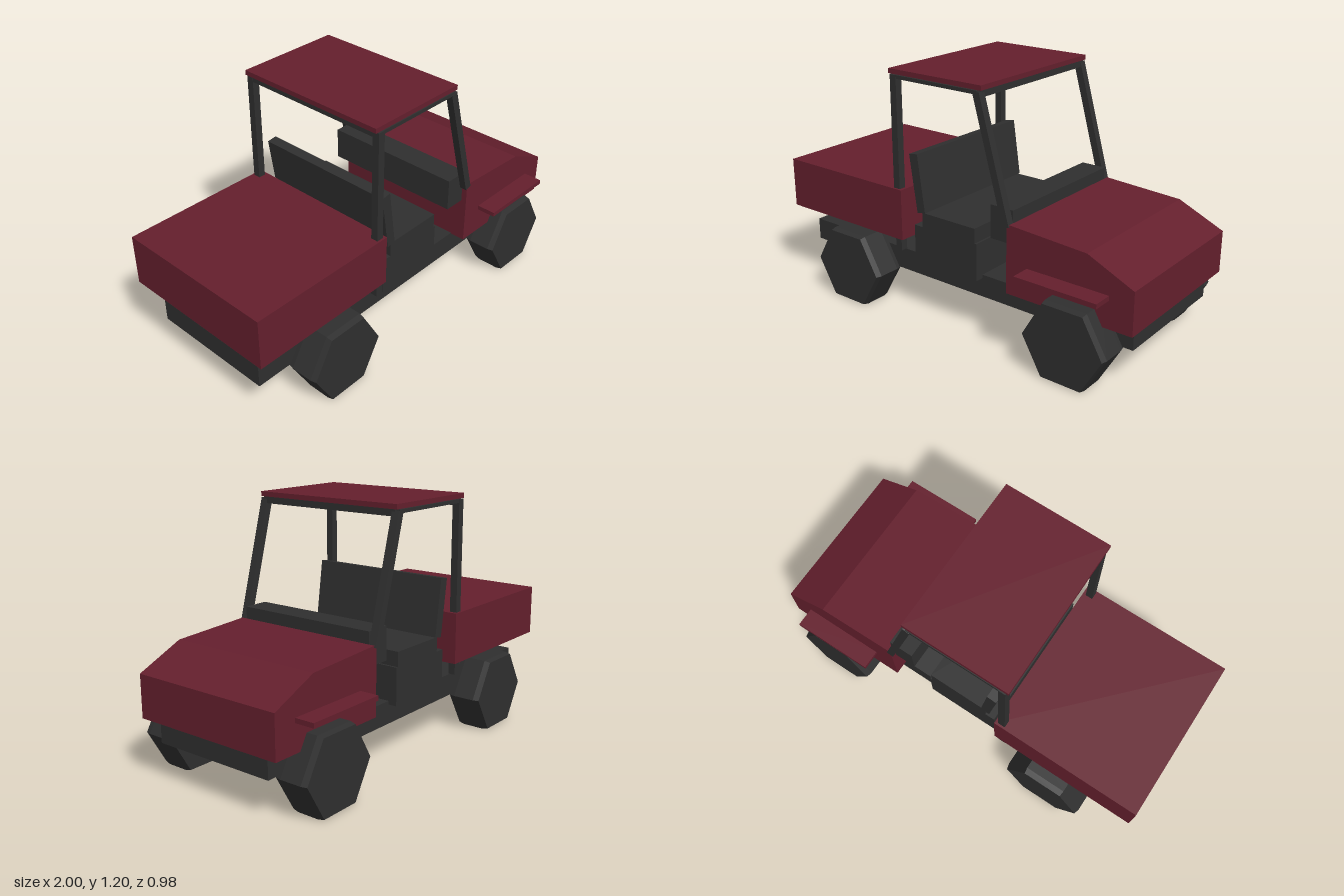
import * as THREE from 'three';

export function createModel() {
  const model = new THREE.Group();
  model.name = 'utilityVehicle';

  const red = new THREE.MeshStandardMaterial({ color: 0x641f2d });
  red.name = 'dark red';
  const dark = new THREE.MeshStandardMaterial({ color: 0x2f2f2f });
  dark.name = 'charcoal';

  const add = (name, geometry, material) => {
    const mesh = new THREE.Mesh(geometry, material);
    mesh.name = name;
    model.add(mesh);
    return mesh;
  };

  // Box given by its x, y and z ranges
  const box = (name, material, [x0, x1], [y0, y1], [z0, z1]) => {
    const mesh = add(name, new THREE.BoxGeometry(x1 - x0, y1 - y0, z1 - z0), material);
    mesh.position.set((x0 + x1) / 2, (y0 + y1) / 2, (z0 + z1) / 2);
    return mesh;
  };

  // Side outline in x and y, extruded evenly across z
  const slab = (name, material, outline, halfWidth) => {
    const shape = new THREE.Shape(outline.map(([x, y]) => new THREE.Vector2(x, y)));
    const geometry = new THREE.ExtrudeGeometry(shape, { depth: 2 * halfWidth, bevelEnabled: false });
    geometry.translate(0, 0, -halfWidth);
    return add(name, geometry, material);
  };

  // Square bar between two points
  const bar = (name, a, b, size) => {
    const start = new THREE.Vector3(...a);
    const end = new THREE.Vector3(...b);
    const mesh = add(name, new THREE.BoxGeometry(size, size, start.distanceTo(end)), dark);
    mesh.position.copy(start).lerp(end, 0.5);
    mesh.lookAt(end);
    return mesh;
  };

  // Chassis and body
  box('chassis', dark, [-0.94, 0.965], [0.187, 0.297], [-0.317, 0.317]);
  box('cargoBox', red, [-1, -0.24], [0.39, 0.64], [-0.41, 0.41]);
  slab('hood', red, [[0.365, 0.293], [1, 0.293], [1, 0.495], [0.775, 0.597], [0.365, 0.62]], 0.393);
  box('dashboard', dark, [0.255, 0.38], [0.518, 0.677], [-0.365, 0.365]);

  // Bench seat
  box('seatBase', dark, [-0.205, 0.17], [0.28, 0.463], [-0.36, 0.36]);
  box('seatCushion', dark, [-0.155, 0.16], [0.46, 0.535], [-0.36, 0.36]);
  slab('seatBack', dark, [[-0.18, 0.53], [-0.133, 0.538], [-0.173, 0.818], [-0.222, 0.811]], 0.365);

  // Roof and its frame
  box('roof', red, [-0.305, 0.23], [1.182, 1.205], [-0.395, 0.395]);
  for (const side of [1, -1]) {
    const z = side * 0.382;
    box('rearPost', dark, [-0.292, -0.256], [0.33, 1.18], [z - 0.018, z + 0.018]);
    bar('frontPost', [0.365, 0.605, z], [0.205, 1.172, z], 0.036);
    box('roofRail', dark, [-0.275, 0.21], [1.163, 1.18], [z - 0.016, z + 0.016]);
    box('fender', red, [0.475, 0.885], [0.421, 0.443], side > 0 ? [0.385, 0.488] : [-0.488, -0.385]);
  }
  for (const x of [-0.274, 0.208]) {
    box('crossBar', dark, [x - 0.016, x + 0.016], [1.15, 1.182], [-0.38, 0.38]);
  }

  // Six-sided wheels with slightly chamfered tread
  const profile = [[0, -0.083], [0.2, -0.083], [0.207, -0.054], [0.207, 0.054], [0.2, 0.083], [0, 0.083]]
    .map(([r, y]) => new THREE.Vector2(r, y));
  const wheel = new THREE.LatheGeometry(profile, 6, Math.PI / 2).rotateX(Math.PI / 2).toNonIndexed();
  wheel.computeVertexNormals();
  for (const [place, x] of [['front', 0.715], ['rear', -0.56]]) {
    for (const [side, z] of [['Left', -0.394], ['Right', 0.394]]) {
      add(place + side + 'Wheel', wheel, dark).position.set(x, 0.183, z);
    }
  }

  return model;
}
